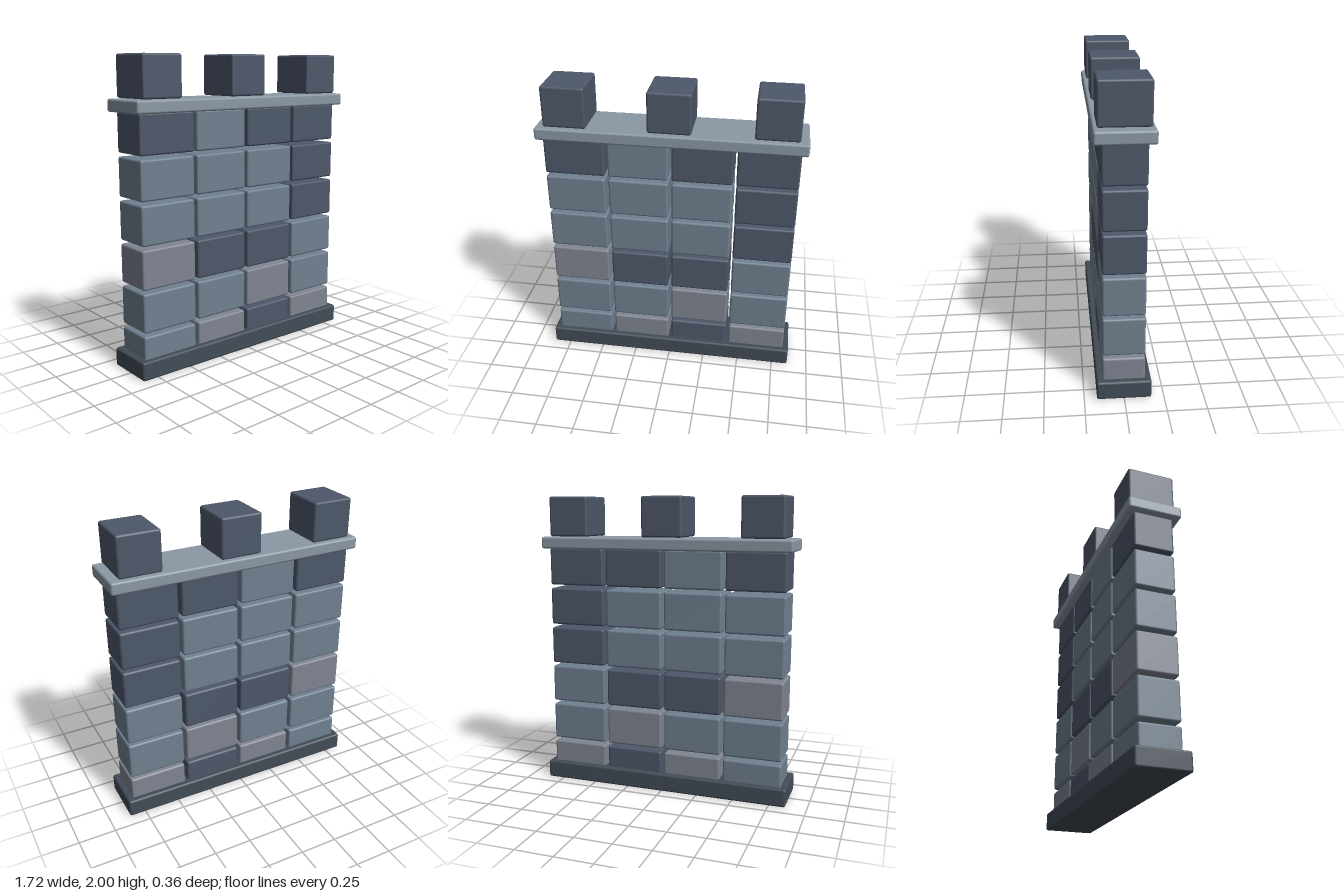
import * as THREE from 'three';
import { RoundedBoxGeometry } from 'three/addons/geometries/RoundedBoxGeometry.js';

const paint = (color) => new THREE.MeshStandardMaterial({ color });
const stone = {
  D: paint(0x4e586a), // dark slate
  M: paint(0x708090), // blue grey
  W: paint(0x7f8592), // warm grey
};
const baseMaterial = paint(0x424c57);
const copingMaterial = paint(0x8b98a5);

// Block colours, listed from the bottom course upward, each from -x to +x
const courses = ['MWDW', 'MMWM', 'WDDM', 'MMMD', 'MMMD', 'DMDD'];

// Softly bevelled block centred on (x, z), standing on height y
function block(name, [w, h, d], [x, y, z], material) {
  const mesh = new THREE.Mesh(new RoundedBoxGeometry(w, h, d, 2, 0.014), material);
  mesh.name = name;
  mesh.position.set(x, y + h / 2, z);
  return mesh;
}

export function createModel() {
  const model = new THREE.Group();
  model.name = 'battlementWall';

  // Plinth
  model.add(block('base', [1.724, 0.122, 0.342], [0, 0, 0], baseMaterial));

  // Stone courses with open joints; the lowest course is sunk into the plinth
  const wall = new THREE.Group();
  wall.name = 'wallBlocks';
  courses.forEach((course, row) => {
    [...course].forEach((key, column) => {
      const x = (column - 1.5) * 0.417;
      wall.add(block(`block_${row + 1}_${column + 1}`, [0.394, 0.254, 0.266],
        [x, 0.015 + row * 0.277, 0], stone[key]));
    });
  });
  model.add(wall);

  // Coping slab
  model.add(block('coping', [1.724, 0.08, 0.356], [0, 1.65, 0], copingMaterial));

  // Merlons
  [-0.667, 0, 0.667].forEach((x, i) => {
    model.add(block(`merlon_${i + 1}`, [0.278, 0.266, 0.312], [x, 1.734, 0], stone.D));
  });

  return model;
}
